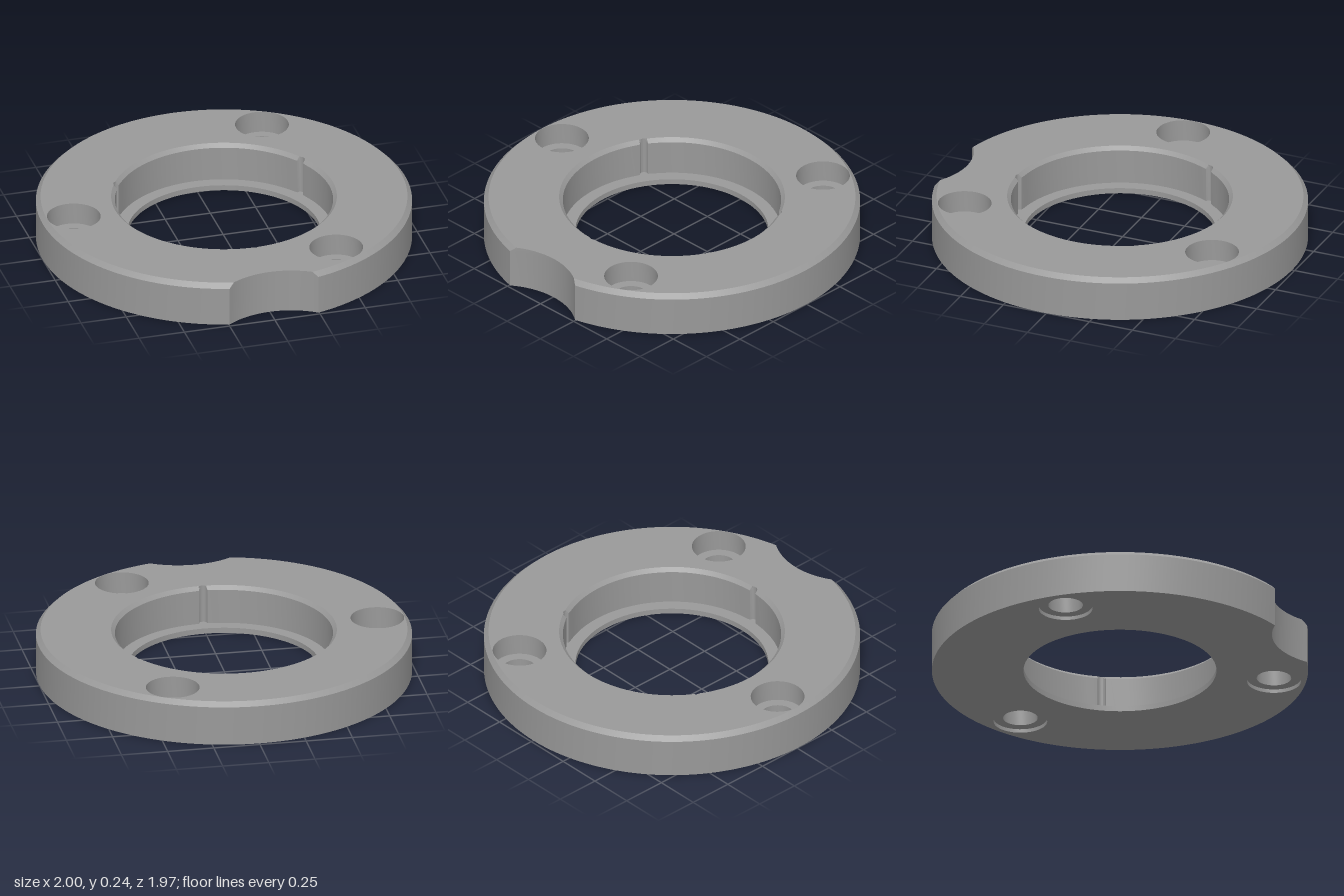
import * as THREE from 'three';
import { toCreasedNormals } from 'three/addons/utils/BufferGeometryUtils.js';

const HEIGHT = 0.24;
const NOTCH_Z = 1.304, NOTCH_R = 0.415;    // round bite out of the front rim
const GROOVE_C = 0.583, GROOVE_R = 0.022;  // small vertical grooves in the bore

// Point on the plan (x, z), angle measured from the front, anticlockwise from above
const polar = (r, a, cx = 0, cz = 0) => new THREE.Vector2(cx + r * Math.sin(a), cz + r * Math.cos(a));

const circle = (r, cx, cz, n = 48) =>
  Array.from({ length: n }, (_, i) => polar(r, (i / n) * Math.PI * 2, cx, cz));

// Disc outline of radius r with the front notch removed
function rimOutline(r) {
  const a = Math.acos((r * r + NOTCH_Z ** 2 - NOTCH_R ** 2) / (2 * NOTCH_Z * r));
  const phi = Math.atan2(r * Math.sin(a), NOTCH_Z - r * Math.cos(a));
  const pts = [];
  for (let i = 0; i <= 160; i++) pts.push(polar(r, a + (i / 160) * (Math.PI * 2 - 2 * a)));
  for (let i = 1; i < 28; i++) {
    const t = phi * (i / 14 - 1);
    pts.push(new THREE.Vector2(NOTCH_R * Math.sin(t), NOTCH_Z - NOTCH_R * Math.cos(t)));
  }
  return pts;
}

// Bore outline of radius r, optionally widened by three grooves
function boreOutline(r, grooved) {
  const half = Math.asin(GROOVE_R / GROOVE_C), pts = [];
  for (let k = 0; k < 3; k++) {
    const mid = (k * Math.PI * 2) / 3;
    for (let i = 0; i <= 14; i++) {
      const t = half * (i / 7 - 1);
      const root = Math.max(0, GROOVE_R ** 2 - (GROOVE_C * Math.sin(t)) ** 2);
      const far = GROOVE_C * Math.cos(t) + Math.sqrt(root);
      pts.push(polar(grooved ? Math.max(r, far) : r, mid + t));
    }
    const span = (Math.PI * 2) / 3 - 2 * half;
    for (let i = 1; i < 44; i++) pts.push(polar(r, mid + half + (span * i) / 44));
  }
  return pts;
}

// Closed wall through matching outlines, given from bottom to top
function loft(levels, inward = false) {
  const n = levels[0][0].length, pos = [], idx = [];
  for (const [pts, y] of levels) for (const p of pts) pos.push(p.x, y, p.y);
  for (let l = 0; l < levels.length - 1; l++) {
    for (let i = 0; i < n; i++) {
      const a = l * n + i, b = l * n + ((i + 1) % n), c = b + n, d = a + n;
      if (inward) idx.push(a, c, b, a, d, c);
      else idx.push(a, b, c, a, c, d);
    }
  }
  const g = new THREE.BufferGeometry();
  g.setAttribute('position', new THREE.Float32BufferAttribute(pos, 3));
  g.setIndex(idx);
  return toCreasedNormals(g, 0.4);
}

// Flat face with holes, facing up (side 1) or down (side -1)
function cap(outline, holes, y, side) {
  const flip = pts => pts.map(p => new THREE.Vector2(p.x, -side * p.y));
  const shape = new THREE.Shape(flip(outline));
  shape.holes = holes.map(h => new THREE.Path(flip(h)));
  return new THREE.ShapeGeometry(shape).rotateX((-side * Math.PI) / 2).translate(0, y, 0);
}

export function createModel() {
  const model = new THREE.Group();
  model.name = 'mountingRing';
  const metal = new THREE.MeshStandardMaterial({ color: 0x999999 });
  metal.name = 'grey metal';
  const add = (name, geometry) => {
    const mesh = new THREE.Mesh(geometry, metal);
    mesh.name = name;
    mesh.position.z = 0.015;
    model.add(mesh);
  };

  const rim = rimOutline(1), rimTop = rimOutline(0.975);
  const opening = boreOutline(0.513, false);
  const bore = boreOutline(0.58, true), boreTop = boreOutline(0.6, true);
  const centres = [1, 3, 5].map(k => polar(0.83, (k * Math.PI) / 3 - Math.PI / 6));
  const recesses = centres.map(c => circle(0.143, c.x, c.y));

  // Outer wall with its top chamfer, and the two flat faces
  add('outerRim', loft([[rim, 0], [rim, 0.215], [rimTop, HEIGHT]]));
  add('topFace', cap(rimTop, [boreTop, ...recesses], HEIGHT, 1));
  add('bottomFace', cap(rim, [opening, ...recesses], 0, -1));

  // Lip, ledge, grooved bore and inner chamfer
  add('centreBore', loft([[opening, 0], [opening, 0.03], [bore, 0.03], [bore, 0.22], [boreTop, HEIGHT]], true));

  // Screw holes: shallow recess below, deep counterbore above
  centres.forEach((c, i) => {
    const wide = recesses[i], narrow = circle(0.092, c.x, c.y);
    add('screwHole' + (i + 1), loft([
      [wide, 0], [wide, 0.02], [narrow, 0.02],
      [narrow, 0.12], [wide, 0.12], [wide, HEIGHT],
    ], true));
  });
  return model;
}
